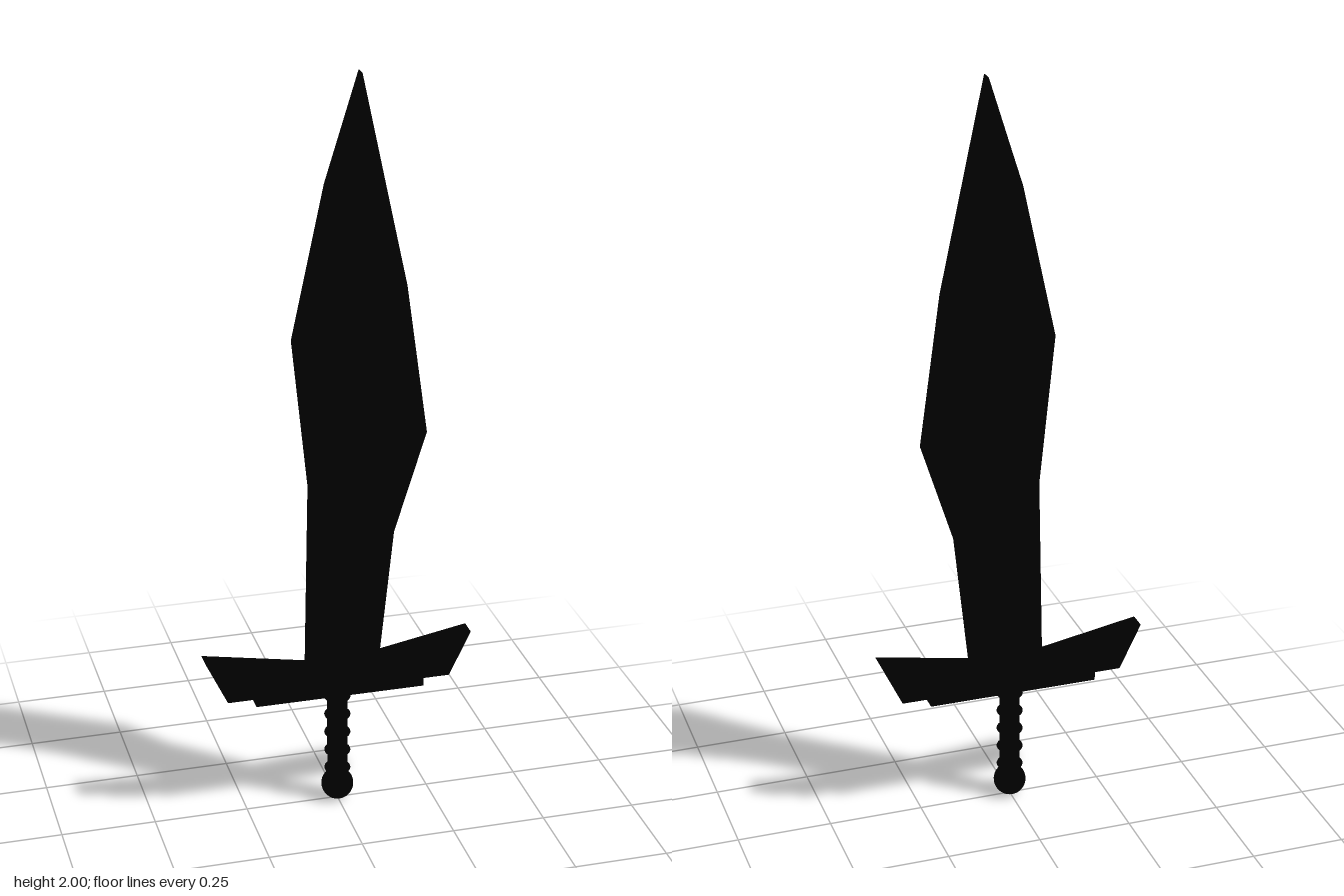
import * as THREE from 'three';

const black = new THREE.MeshStandardMaterial({ color: 0x000000 });
black.name = 'black';

// Bevelled slab with the given outline, centred on z = 0
function slab(name, points, halfDepth, bevel) {
  const shape = new THREE.Shape(points.map(([x, y]) => new THREE.Vector2(x, y)));
  const geometry = new THREE.ExtrudeGeometry(shape, {
    depth: 2 * (halfDepth - bevel),
    bevelThickness: bevel,
    bevelSize: bevel,
    bevelOffset: -bevel,
    bevelSegments: 3,
  });
  geometry.translate(0, 0, bevel - halfDepth);
  return part(name, geometry);
}

function part(name, geometry, y = 0) {
  const mesh = new THREE.Mesh(geometry, black);
  mesh.name = name;
  mesh.position.y = y;
  return mesh;
}

export function createModel() {
  const sword = new THREE.Group();
  sword.name = 'sword';

  // Leaf-shaped, slightly curved blade
  sword.add(slab('blade', [
    [-0.085, 0.37], [0.105, 0.37], [0.11, 0.42], [0.148, 0.78], [0.233, 1.05],
    [0.177, 1.45], [0.058, 2.0], [-0.03, 1.72], [-0.116, 1.32],
    [-0.075, 0.92], [-0.085, 0.42],
  ], 0.023, 0.008));

  // Swept crossguard with a slightly thicker plate under its middle
  sword.add(slab('crossguard', [
    [-0.302, 0.343], [0.302, 0.343], [0.36, 0.465], [0, 0.4], [-0.36, 0.465],
  ], 0.03, 0.008));
  sword.add(part('guardPlate', new THREE.BoxGeometry(0.456, 0.048, 0.068), 0.35));

  // Grip with raised rings
  sword.add(part('grip', new THREE.CylinderGeometry(0.027, 0.027, 0.28, 32), 0.2));
  for (let i = 0; i < 5; i++) {
    const ring = new THREE.TorusGeometry(0.028, 0.007, 10, 32);
    ring.rotateX(Math.PI / 2);
    sword.add(part('gripRing', ring, 0.094 + i * 0.054));
  }

  // Round pommel
  sword.add(part('pommel', new THREE.SphereGeometry(0.043, 32, 20), 0.045));

  return sword;
}
